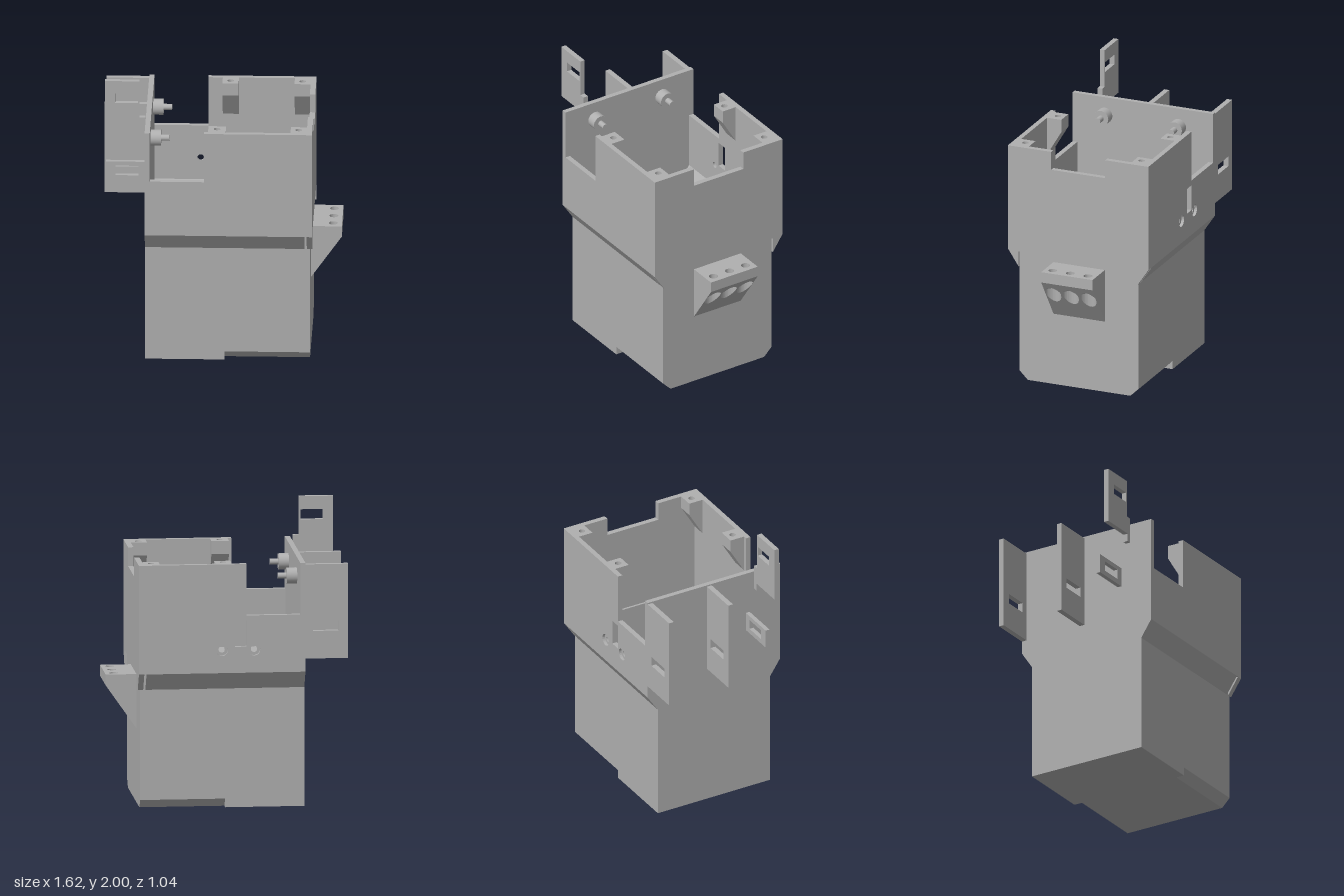
import * as THREE from 'three';

const grey = new THREE.MeshStandardMaterial({ color: 0xb0b0b0, side: THREE.DoubleSide });
grey.name = 'matte grey';

const poly = (pts) => new THREE.Shape(pts.map(([a, b]) => new THREE.Vector2(a, b)));
const rect = (x0, y0, x1, y1) => [[x0, y0], [x1, y0], [x1, y1], [x0, y1]];
const circle = (x, y, r) => new THREE.Path().absarc(x, y, r, 0, Math.PI * 2, true);
const mirrored = (half) => [...half, ...half.map(([z, y]) => [-z, y]).reverse()];

export function createModel() {
  const model = new THREE.Group();
  const add = (name, geometry) => {
    const mesh = new THREE.Mesh(geometry, grey);
    mesh.name = name;
    model.add(mesh);
    return mesh;
  };
  const extrude = (shape, depth) =>
    new THREE.ExtrudeGeometry(shape, { depth, bevelEnabled: false, curveSegments: 10 });
  // Outline in (x, y), thickness along z
  const alongZ = (name, shape, z0, z1) => add(name, extrude(shape, z1 - z0).translate(0, 0, z0));
  // Outline in (-z, y), thickness along x
  const alongX = (name, pts, x0, x1) =>
    add(name, extrude(poly(pts), x1 - x0).rotateY(Math.PI / 2).translate(x0, 0, 0));

  // Lower tub: square bottom edges on the left, chamfered on the right
  const square = [[0.44, 0]];
  const chamfered = [[0.38, 0], [0.44, 0.06]];
  const shell = [[0.44, 0.82], [0.52, 0.94], [0.485, 0.94], [0.38, 0.8], [0.38, 0.05]];
  alongX('tubLeftHalf', mirrored([...square, ...shell]), -0.485, 0.02);
  alongX('tubRightHalf', mirrored([...chamfered, ...shell]), 0.02, 0.565);

  // End walls
  alongX('leftWall', mirrored([...square, [0.44, 0.82], [0.52, 0.94], [0.52, 1.69]]), -0.52, -0.485);
  alongX('lowerRightWall', mirrored([...chamfered, [0.44, 0.94]]), 0.565, 0.6);
  alongX('upperRightWall', mirrored([
    [0.4, 0.94], [0.44, 0.93], [0.44, 0.82], [0.52, 0.94], [0.52, 1.69], [0.2, 1.69], [0.2, 1.56],
  ]), 0.58, 0.617);

  // Notched upper front and back walls
  const upper = [[-0.485, 0.94], [0.58, 0.94], [0.58, 1.69], [-0.117, 1.69], [-0.117, 1.335], [-0.485, 1.335]];
  alongZ('frontWall', poly(upper), 0.485, 0.52);
  const back = poly(upper);
  back.holes.push(new THREE.Path(poly(rect(-0.12, 1.12, -0.04, 1.3)).getPoints()));
  for (const x of [0.05, -0.17]) {
    back.holes.push(circle(x, 1.1, 0.042));
    const seat = new THREE.Shape().absarc(x, 1.1, 0.043, 0, Math.PI * 2);
    seat.holes.push(circle(x, 1.1, 0.022));
    alongZ('screwSeat', seat, -0.5, -0.485);
  }
  alongZ('backWall', back, -0.52, -0.485);

  // Screw posts: drilled block above a tapered support
  const post = (x0, x1, hx, side) => {
    const top = poly(rect(x0, 0.38, x1, 0.487));
    top.holes.push(circle(hx, 0.43, 0.022));
    const block = extrude(top, 0.09).rotateX(Math.PI / 2).translate(0, 1.69, 0);
    if (side < 0) block.rotateY(Math.PI).translate(x0 + x1, 0, 0);
    add('postBlock', block);
    alongX('postTaper', [[-0.38 * side, 1.6], [-0.487 * side, 1.6], [-0.487 * side, 1.42]], x0, x1);
  };
  post(-0.09, 0.03, -0.03, 1);
  post(-0.02, 0.09, 0.035, -1);
  for (const side of [1, -1]) post(0.47, 0.58, 0.525, side);

  // Stepped pins inside the left wall, and floor ribs
  for (const z of [-0.265, 0.28]) {
    for (const [name, r, x0, x1] of [['pinBase', 0.055, -0.485, -0.415], ['pinTip', 0.021, -0.415, -0.357]]) {
      add(name, new THREE.CylinderGeometry(r, r, x1 - x0, 24).rotateZ(Math.PI / 2))
        .position.set((x0 + x1) / 2, 1.56, z);
    }
    add('floorRib', new THREE.BoxGeometry(0.025, 0.02, 0.09)).position.set(0.053, 0.06, z);
  }

  // Slotted plates standing out from the left wall
  const plate = (name, pts, slot, z0, z1) => {
    const s = poly(pts);
    s.holes.push(new THREE.Path(poly(rect(...slot)).getPoints()));
    alongZ(name, s, z0, z1);
  };
  for (const z of [-0.52, -0.055]) {
    plate('largePlate', rect(-0.81, 1.03, -0.52, 1.68), [-0.745, 1.22, -0.57, 1.29], z, z + 0.037);
  }
  plate('smallPlate', rect(-0.79, 1.245, -0.52, 1.38), [-0.725, 1.28, -0.57, 1.35], 0.25, 0.28);
  plate('tallPlate', [
    [-0.795, 1.61], [-0.55, 1.61], [-0.55, 1.555], [-0.52, 1.555], [-0.52, 1.735], [-0.56, 1.735],
    [-0.56, 2], [-0.795, 2],
  ], [-0.725, 1.84, -0.57, 1.91], 0.315, 0.35);

  // Right bracket: wedge faces, open where the holes pass through
  const slopeX = (y) => 0.6 + 0.7 * (y - 0.51);
  const profile = poly([[0.6, 0.51], [0.81, 0.81], [0.81, 0.885], [0.6, 0.885]]);
  for (const z of [-0.19, 0.19]) {
    const side = new THREE.ShapeGeometry(profile);
    if (z < 0) side.rotateY(Math.PI).scale(-1, 1, 1);
    add('bracketSide', side.translate(0, 0, z));
  }
  add('bracketEnd', new THREE.PlaneGeometry(0.38, 0.075).rotateY(Math.PI / 2).translate(0.81, 0.8475, 0));
  const top = poly(rect(0.6, -0.19, 0.81, 0.19));
  const slope = poly(rect(-0.19, 0.51, 0.19, 0.81));

  const N = 32, cx = 0.75, R = 0.058, r = 0.03;
  for (const z of [-0.13, 0, 0.13]) {
    top.holes.push(circle(cx, z, r));
    // Rings: mouth on the slope, pocket rim, bore start, bore end
    const rings = [[], [], [], []];
    for (let i = 0; i <= N; i++) {
      const a = (i / N) * Math.PI * 2, c = Math.cos(a), s = Math.sin(a);
      const t = Math.max(0, Math.min(1, (0.058 * c - 0.0075) / (0.0245 + 0.028 * c || 1e-6)));
      const onCone = c > 0.13;
      const q = onCone ? R - 0.028 * t : R;
      const x = cx + q * c;
      const mouthY = 0.51 + (x - 0.6) / 0.7;
      rings[0].push([x, mouthY, z + q * s]);
      rings[1].push([x, onCone ? mouthY : 0.735, z + q * s]);
      rings[2].push([cx + r * c, 0.77, z + r * s]);
      rings[3].push([cx + r * c, 0.885, z + r * s]);
    }
    slope.holes.push(new THREE.Path(rings[0].slice(0, N).map((p) => new THREE.Vector2(-p[2], p[1]))));
    const pos = [];
    for (let k = 0; k < 3; k++) {
      for (let i = 0; i < N; i++) {
        const [a, b, c, d] = [rings[k][i], rings[k][i + 1], rings[k + 1][i + 1], rings[k + 1][i]];
        pos.push(...a, ...b, ...c, ...a, ...c, ...d);
      }
    }
    const pocket = new THREE.BufferGeometry();
    pocket.setAttribute('position', new THREE.Float32BufferAttribute(pos, 3));
    pocket.computeVertexNormals();
    add('screwPocket', pocket);
  }
  add('bracketTop', new THREE.ShapeGeometry(top).rotateX(-Math.PI / 2).translate(0, 0.885, 0));
  const slopeGeo = new THREE.ShapeGeometry(slope);
  const p = slopeGeo.attributes.position;
  for (let i = 0; i < p.count; i++) p.setXYZ(i, slopeX(p.getY(i)), p.getY(i), -p.getX(i));
  slopeGeo.computeVertexNormals();
  add('bracketSlope', slopeGeo);

  return model;
}
